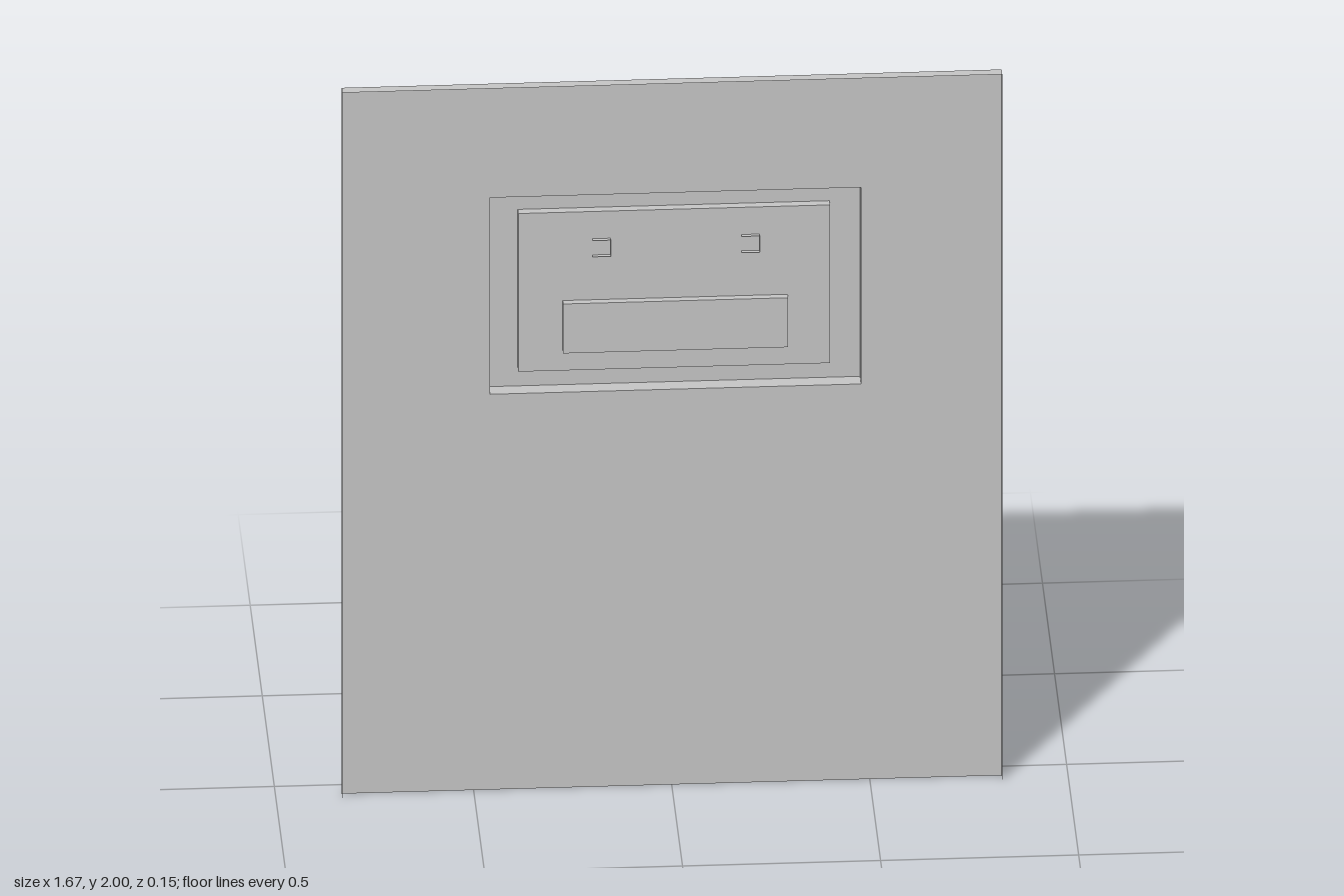
import * as THREE from 'three';

const metal = new THREE.MeshStandardMaterial({ color: 0xc7c7c7, side: THREE.DoubleSide, flatShading: true });
metal.name = 'grey metal';

// Mesh from cross-section loops: neighbouring loops are joined by quads.
// skip leaves one side of each loop open; cap fills the last (four-cornered) loop.
function loft(name, loops, { skip = -1, cap = false } = {}) {
  const pos = [];
  const quad = (a, b, c, d) => pos.push(...a, ...b, ...c, ...a, ...c, ...d);
  for (let i = 0; i + 1 < loops.length; i++) {
    const p = loops[i], q = loops[i + 1], n = p.length;
    for (let k = 0; k < n; k++) {
      if (k !== skip) quad(p[k], p[(k + 1) % n], q[(k + 1) % n], q[k]);
    }
  }
  if (cap) quad(...loops[loops.length - 1]);
  const geo = new THREE.BufferGeometry();
  geo.setAttribute('position', new THREE.Float32BufferAttribute(pos, 3));
  geo.computeVertexNormals();
  const mesh = new THREE.Mesh(geo, metal);
  mesh.name = name;
  return mesh;
}

// Rectangle corners, counter-clockwise seen from the front, starting lower left
const rect = ([x0, x1, y0, y1], z) => [[x0, y0, z], [x1, y0, z], [x1, y1, z], [x0, y1, z]];

// U-shaped handle with mitred corners and open ends, running along local y.
// section: [across, outward] points; zBase and zGrip: depth of the ends and the grip's axis
function uHandle(name, section, span, zBase, zGrip) {
  const path = [
    [span / 2, zBase, 1, 0], [span / 2, zGrip, 1, -1],
    [-span / 2, zGrip, -1, -1], [-span / 2, zBase, -1, 0],
  ];
  return loft(name, path.map(([y, z, ny, nz]) =>
    section.map(([u, v]) => [u, y + v * ny, z + v * nz])));
}

export function createModel() {
  const door = new THREE.Group();
  door.name = 'door';

  const outer = [-0.833, 0.833, 0, 2];
  const frame = [-0.458, 0.478, 1.12, 1.677];
  const inner = [-0.386, 0.401, 1.172, 1.62];
  const plate = [-0.274, 0.294, 1.23, 1.37];
  const zFront = 0.077, zSheet = 0.05, zFrame = 0.008, zInner = 0.031, zPlate = 0.05;

  // Bent sheet: side and top flanges, open at the bottom
  door.add(loft('flanges', [rect(outer, zFront), rect(outer, zSheet)], { skip: 0 }));
  door.add(loft('doorSheet', [rect(outer, zSheet), rect(frame, zSheet)]));

  // Hatch, pressed in steps from the sheet
  door.add(loft('hatchFrame', [rect(frame, zSheet), rect(frame, zFrame), rect(inner, zFrame)]));
  door.add(loft('hatchPanel', [rect(inner, zFrame), rect(inner, zInner), rect(plate, zInner)]));
  door.add(loft('hatchPlate', [rect(plate, zInner), rect(plate, zPlate)], { cap: true }));

  // Square hatch handle, its hollow ends passing through the panel
  const s = 0.023;
  const hatchHandle = uHandle('hatchHandle', [[-s, -s], [s, -s], [s, s], [-s, s]], 0.376, 0.042, -0.025);
  hatchHandle.rotation.z = Math.PI / 2;
  hatchHandle.position.set(0.012, 1.52, 0);
  door.add(hatchHandle);

  // Six-sided pull handle
  const w = 0.0365, d = 0.0235, e = 0.0108;
  const pullHandle = uHandle('pullHandle',
    [[0, d], [w, e], [w, -e], [0, -d], [-w, -e], [-w, e]], 0.302, zSheet, -0.0535);
  pullHandle.position.set(0.429, 0.779, 0);
  door.add(pullHandle);
  return door;
}
